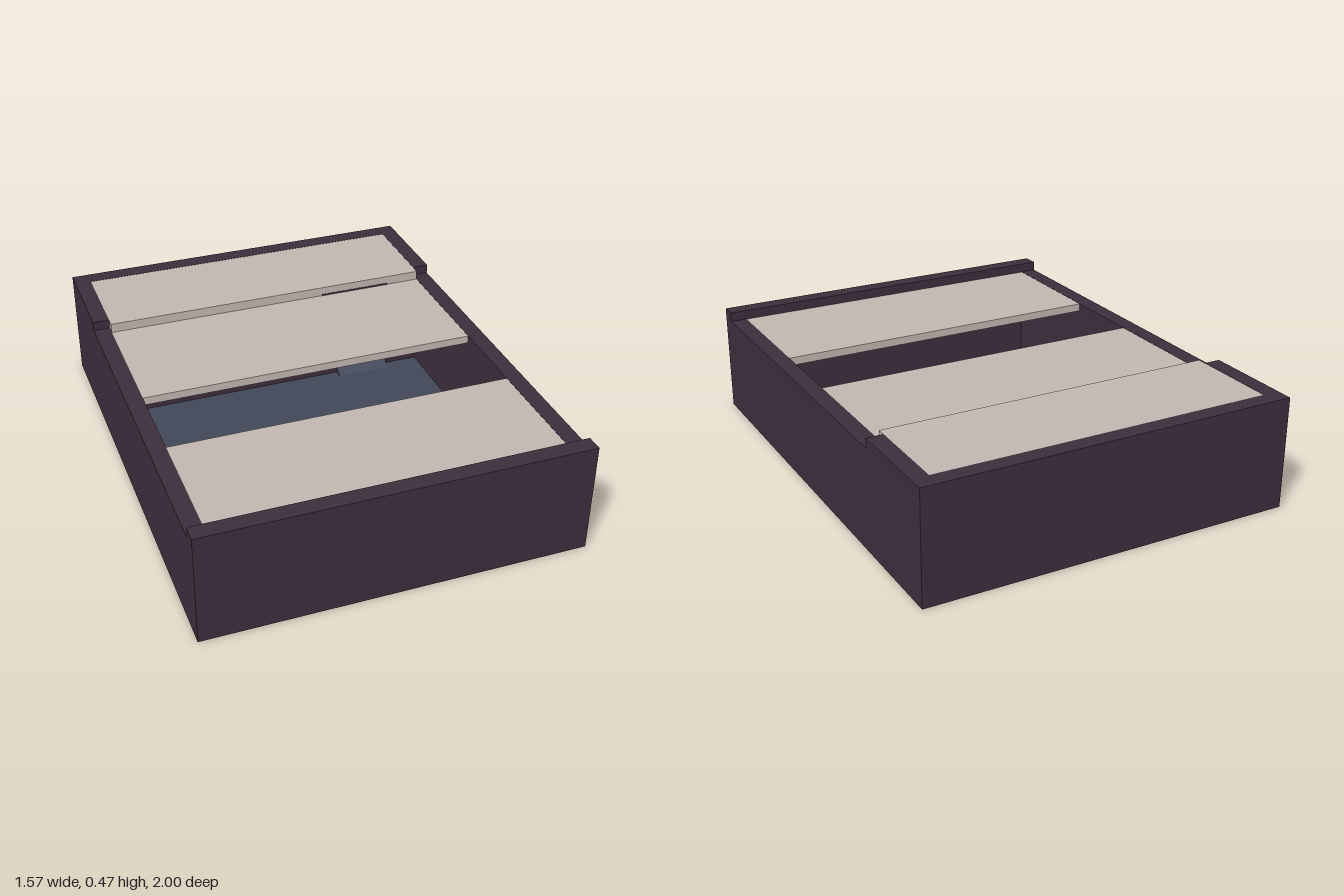
import * as THREE from 'three';

const mat = (name, color) => {
  const m = new THREE.MeshStandardMaterial({ color });
  m.name = name;
  return m;
};

export function createModel() {
  const model = new THREE.Group();
  model.name = 'tray';
  const purple = mat('dark purple', 0x3d2d3c);
  const tan = mat('warm grey', 0xc1b5af);
  const blue = mat('slate blue', 0x414759);
  const mauve = mat('mauve', 0x776773);

  const add = (name, geometry, material) => {
    const mesh = new THREE.Mesh(geometry, material);
    mesh.name = name;
    model.add(mesh);
    return mesh;
  };
  // Box given by its limits on each axis
  const box = (name, material, [x0, x1], [y0, y1], [z0, z1]) =>
    add(name, new THREE.BoxGeometry(x1 - x0, y1 - y0, z1 - z0)
      .translate((x0 + x1) / 2, (y0 + y1) / 2, (z0 + z1) / 2), material);
  // Profile in (z, y) swept along x
  const sweep = (name, material, points, x0, x1) => {
    const shape = new THREE.Shape(points.map(([z, y]) => new THREE.Vector2(-z, y)));
    const g = new THREE.ExtrudeGeometry(shape, { depth: x1 - x0, bevelEnabled: false });
    return add(name, g.rotateY(Math.PI / 2).translate(x0, 0, 0), material);
  };

  const W = 0.785, I = 0.715, H = 0.47, L = 0.43;

  // Side walls, lower between the raised ends
  const wall = [[1, 0], [1, H], [0.93, H], [0.93, L], [-0.56, L], [-0.56, H], [-1, H], [-1, 0]];
  sweep('leftWall', purple, wall, I, W);
  sweep('rightWall', purple, wall, -W, -I);
  box('frontWall', purple, [-I, I], [0, H], [0.93, 1]);
  box('backWall', purple, [-I, I], [0, H], [-1, -0.93]);

  // Inner divider, broken by the chute near the bottom
  box('divider', purple, [-I, I], [0.1, 0.39], [-0.58, -0.5]);
  box('dividerFoot', purple, [-I, 0.32], [0, 0.1], [-0.58, -0.5]);
  box('dividerFoot', purple, [0.56, I], [0, 0.1], [-0.58, -0.5]);

  // Floors
  box('floor', blue, [-I, I], [0.004, 0.02], [-0.5, 0.93]);
  box('backFloor', blue, [-I, I], [0.08, 0.095], [-0.93, -0.58]);
  sweep('chute', blue, [[-0.46, 0.003], [-0.46, 0.02], [-0.58, 0.1], [-0.74, 0.1], [-0.74, 0.075]], 0.32, 0.56);

  // Strips on the underside
  for (const z of [-0.07, 0.5]) box('floorStrip', mauve, [-I, 0.14], [0.001, 0.006], [z - 0.06, z + 0.06]);
  box('backStrip', mauve, [-I, 0.19], [0.076, 0.082], [-0.82, -0.8]);

  // Round button on the floor
  add('button', new THREE.CylinderGeometry(0.07, 0.07, 0.03, 32).translate(0.53, 0.035, 0.21), mauve);

  // Top panels
  box('frontPanel', tan, [-I, I], [0.395, 0.429], [0.39, 0.93]);
  box('middlePanel', tan, [-I, I], [0.395, 0.429], [-0.58, 0.03]);
  box('backPanel', tan, [-I, I], [0.429, 0.469], [-0.93, -0.52]);
  box('slot', purple, [0.25, 0.57], [0.429, 0.436], [-0.522, -0.518]);

  return model;
}
